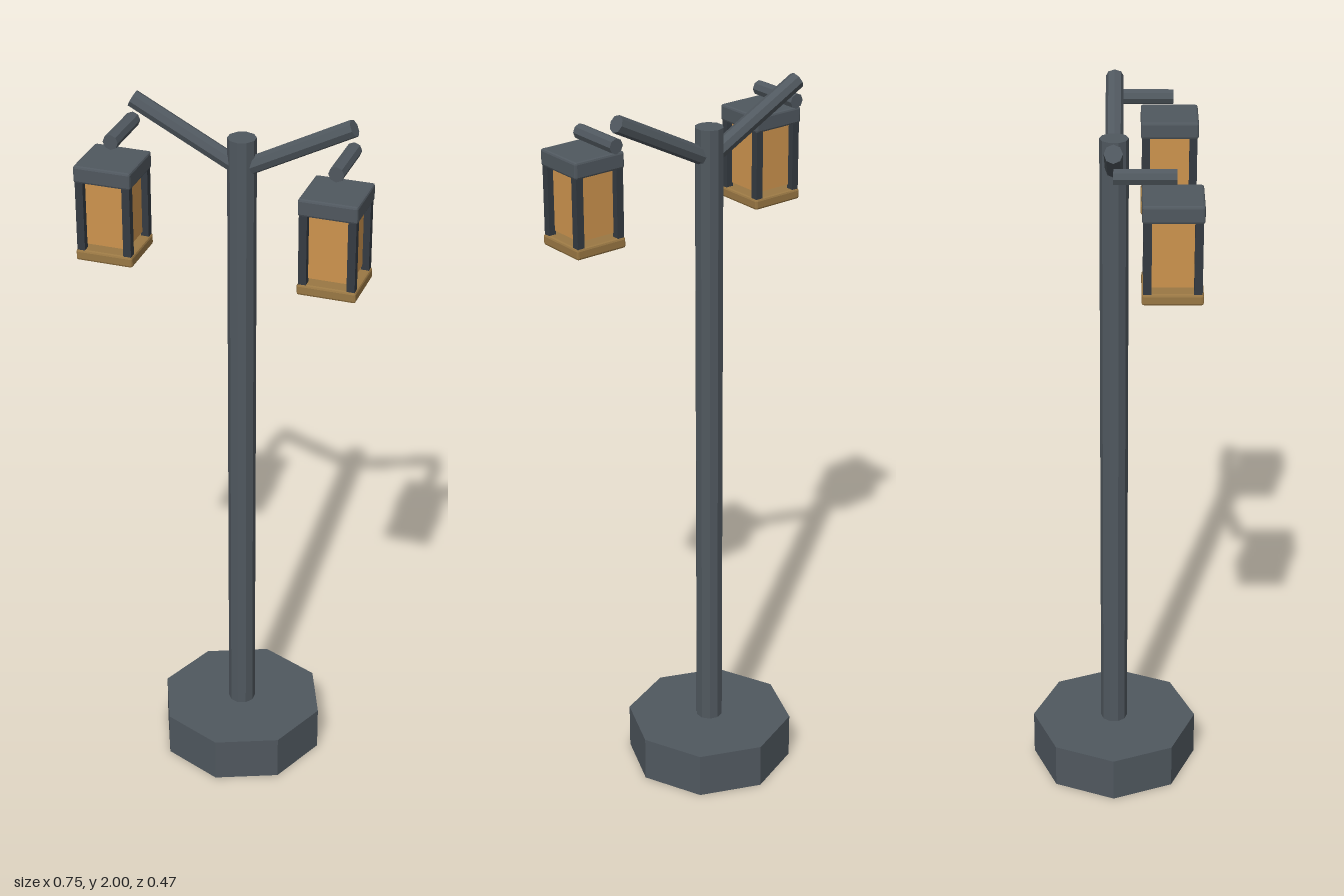
import * as THREE from 'three';
import { RoundedBoxGeometry } from 'three/addons/geometries/RoundedBoxGeometry.js';

const paint = (color) => new THREE.MeshStandardMaterial({ color, flatShading: true });
const iron = paint(0x50585f);
const darkIron = paint(0x353b42);
const amber = paint(0xcd944e);
const brass = paint(0x9a7844);

function add(parent, name, geometry, material, x, y, z) {
  const mesh = new THREE.Mesh(geometry, material);
  mesh.name = name;
  mesh.position.set(x, y, z);
  parent.add(mesh);
  return mesh;
}

// Straight round bar between two points
function bar(parent, name, from, to, radius, sides, material) {
  const a = new THREE.Vector3(...from);
  const b = new THREE.Vector3(...to);
  const mid = a.clone().add(b).multiplyScalar(0.5);
  const geometry = new THREE.CylinderGeometry(radius, radius, a.distanceTo(b), sides);
  const mesh = add(parent, name, geometry, material, mid.x, mid.y, mid.z);
  mesh.quaternion.setFromUnitVectors(new THREE.Vector3(0, 1, 0), b.sub(a).normalize());
  return mesh;
}

// Square lantern, with its origin at the middle of its underside
function createLantern() {
  const lantern = new THREE.Group();
  add(lantern, 'lanternBase', new RoundedBoxGeometry(0.154, 0.03, 0.154, 1, 0.006), brass, 0, 0.015, 0);
  add(lantern, 'lanternGlass', new THREE.BoxGeometry(0.112, 0.18, 0.112), amber, 0, 0.131, 0);
  add(lantern, 'lanternCap', new RoundedBoxGeometry(0.154, 0.046, 0.154, 1, 0.006), iron, 0, 0.239, 0);
  for (const x of [-0.063, 0.063]) {
    for (const z of [-0.063, 0.063]) {
      add(lantern, 'lanternPost', new THREE.BoxGeometry(0.021, 0.2, 0.021), darkIron, x, 0.124, z);
    }
  }
  return lantern;
}

export function createModel() {
  const model = new THREE.Group();
  model.name = 'streetLamp';

  // Octagonal foot and pole
  add(model, 'foot', new THREE.CylinderGeometry(0.235, 0.235, 0.13, 8), iron, 0, 0.065, 0);
  bar(model, 'pole', [0, 0.1, 0], [0, 1.912, 0], 0.038, 10, iron);

  // Raised arm, forward hanger and lantern on each side
  for (const [side, s] of [['left', 1], ['right', -1]]) {
    bar(model, side + 'Arm', [0, 1.826, 0], [s * 0.295, 1.979, 0], 0.0235, 8, iron);
    bar(model, side + 'Hanger', [s * 0.296, 1.921, 0], [s * 0.296, 1.921, 0.156], 0.0205, 8, iron);
    const lantern = createLantern();
    lantern.name = side + 'Lantern';
    lantern.position.set(s * 0.296, 1.612, 0.147);
    model.add(lantern);
  }
  return model;
}
